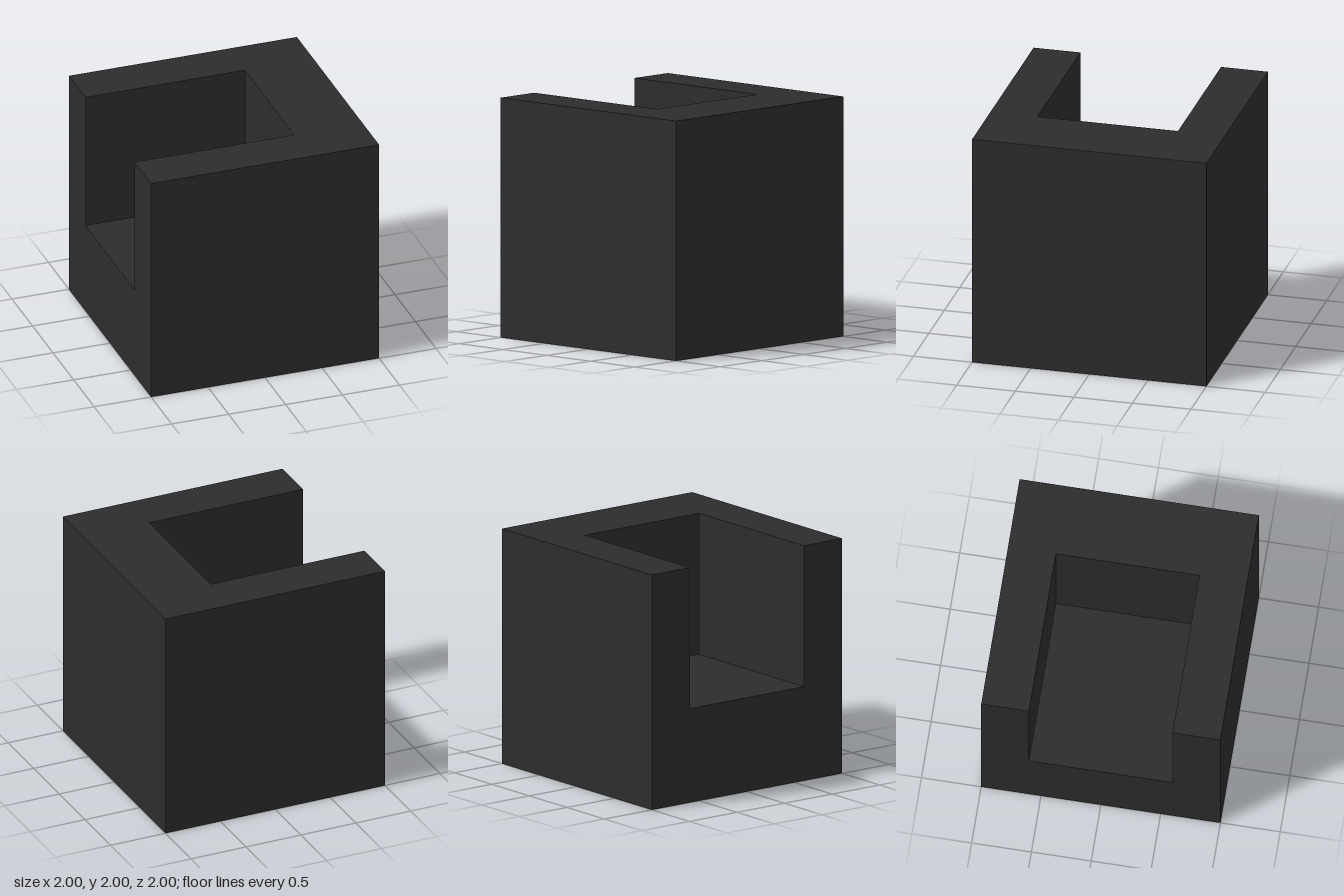
import * as THREE from 'three';

export function createModel() {
  const model = new THREE.Group();
  model.name = 'cubeArmchair';
  const charcoal = new THREE.MeshStandardMaterial({ color: 0x2d2d2d });
  charcoal.name = 'charcoal';

  const size = 2, half = size / 2;
  const wall = 0.4 * 1.5;      // thickness of the backrest
  const arm = 0.4;             // thickness of each armrest
  const seatHeight = 0.8;
  const backX = half - wall, armZ = half - arm;

  // Armrests and backrest: one U-shaped plan, open towards -x, raised to full height
  const plan = new THREE.Shape([
    [-half, -half], [half, -half], [half, half], [-half, half],
    [-half, armZ], [backX, armZ], [backX, -armZ], [-half, -armZ],
  ].map(([x, y]) => new THREE.Vector2(x, y)));
  const shellGeometry = new THREE.ExtrudeGeometry(plan, { depth: size, bevelEnabled: false });
  shellGeometry.rotateX(-Math.PI / 2);
  const shell = new THREE.Mesh(shellGeometry, charcoal);
  shell.name = 'armsAndBackrest';
  model.add(shell);

  // Solid seat filling the lower part of the U
  const seatDepth = backX + half;
  const seat = new THREE.Mesh(new THREE.BoxGeometry(seatDepth, seatHeight, armZ * 2), charcoal);
  seat.name = 'seat';
  seat.position.set(-half + seatDepth / 2, seatHeight / 2, 0);
  model.add(seat);

  return model;
}
